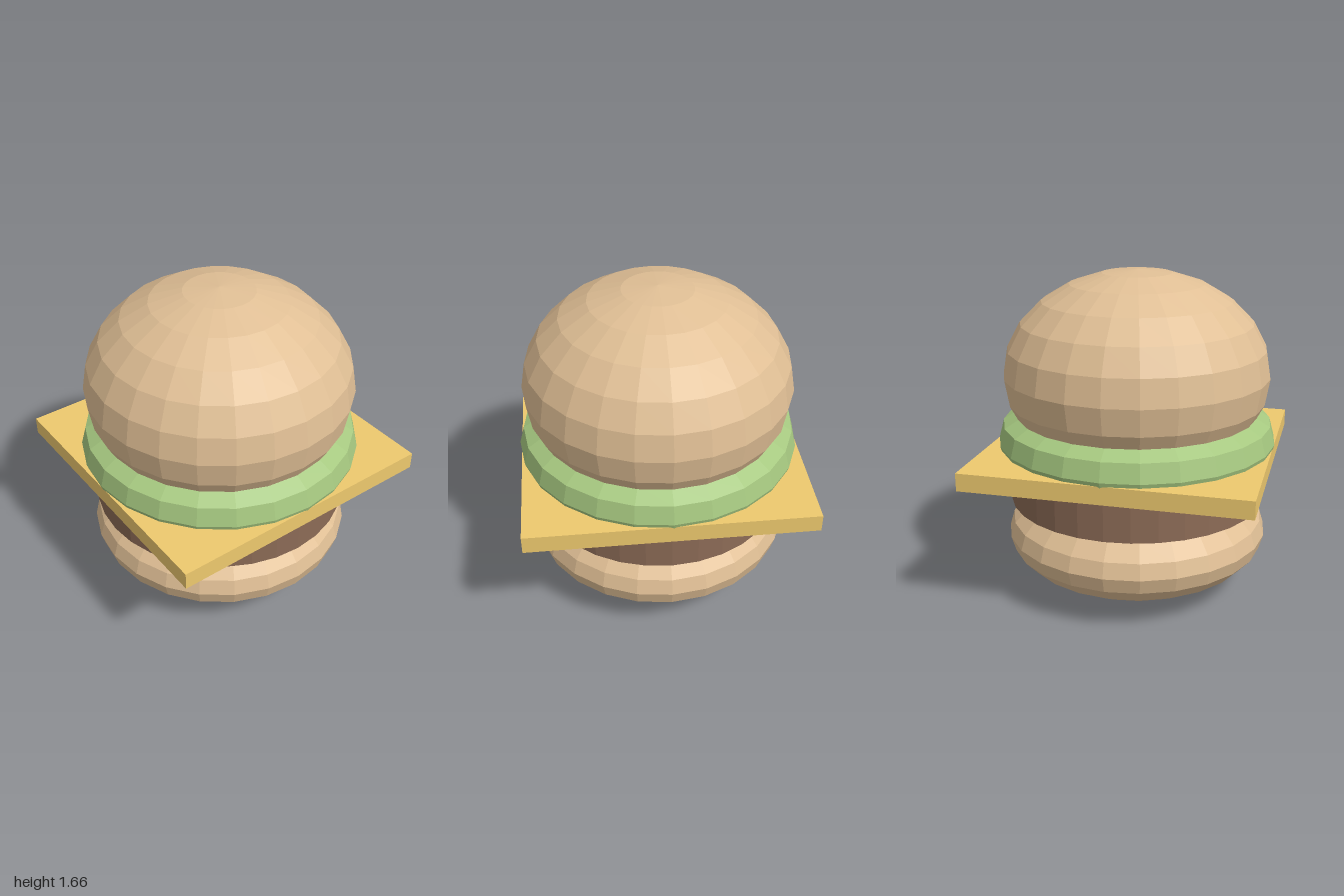
import * as THREE from 'three';

const SIDES = 24;

export function createModel() {
  const model = new THREE.Group();

  function add(name, geometry, color, y) {
    const material = new THREE.MeshStandardMaterial({ color, flatShading: true });
    const mesh = new THREE.Mesh(geometry, material);
    mesh.name = name;
    mesh.position.y = y;
    model.add(mesh);
    return mesh;
  }

  // Buns: faceted spheres squashed to different heights
  function addBun(name, y, halfHeight) {
    const geometry = new THREE.SphereGeometry(0.68, SIDES, 12);
    geometry.scale(1, halfHeight / 0.68, 1);
    add(name, geometry, 0xe0bf95, y);
  }
  addBun('bottomBun', 0.3, 0.3);
  addBun('topBun', 1.14, 0.525);

  // Meat patty
  add('patty', new THREE.CylinderGeometry(0.66, 0.66, 0.21, 32), 0x8c6b56, 0.59);

  // Square cheese slice turned so its corners point along the axes
  const cheese = add('cheese', new THREE.BoxGeometry(Math.SQRT2, 0.09, Math.SQRT2), 0xeec96e, 0.735);
  cheese.rotation.y = Math.PI / 4;

  // Lettuce: rounded disc bulging out between the cheese and the top bun
  const profile = [[0, -0.1], [0.6, -0.1], [0.69, -0.085], [0.715, 0], [0.69, 0.093], [0.605, 0.143], [0, 0.143]]
    .map(([r, y]) => new THREE.Vector2(r, y));
  add('lettuce', new THREE.LatheGeometry(profile, SIDES), 0xa6c880, 0.8);

  return model;
}
